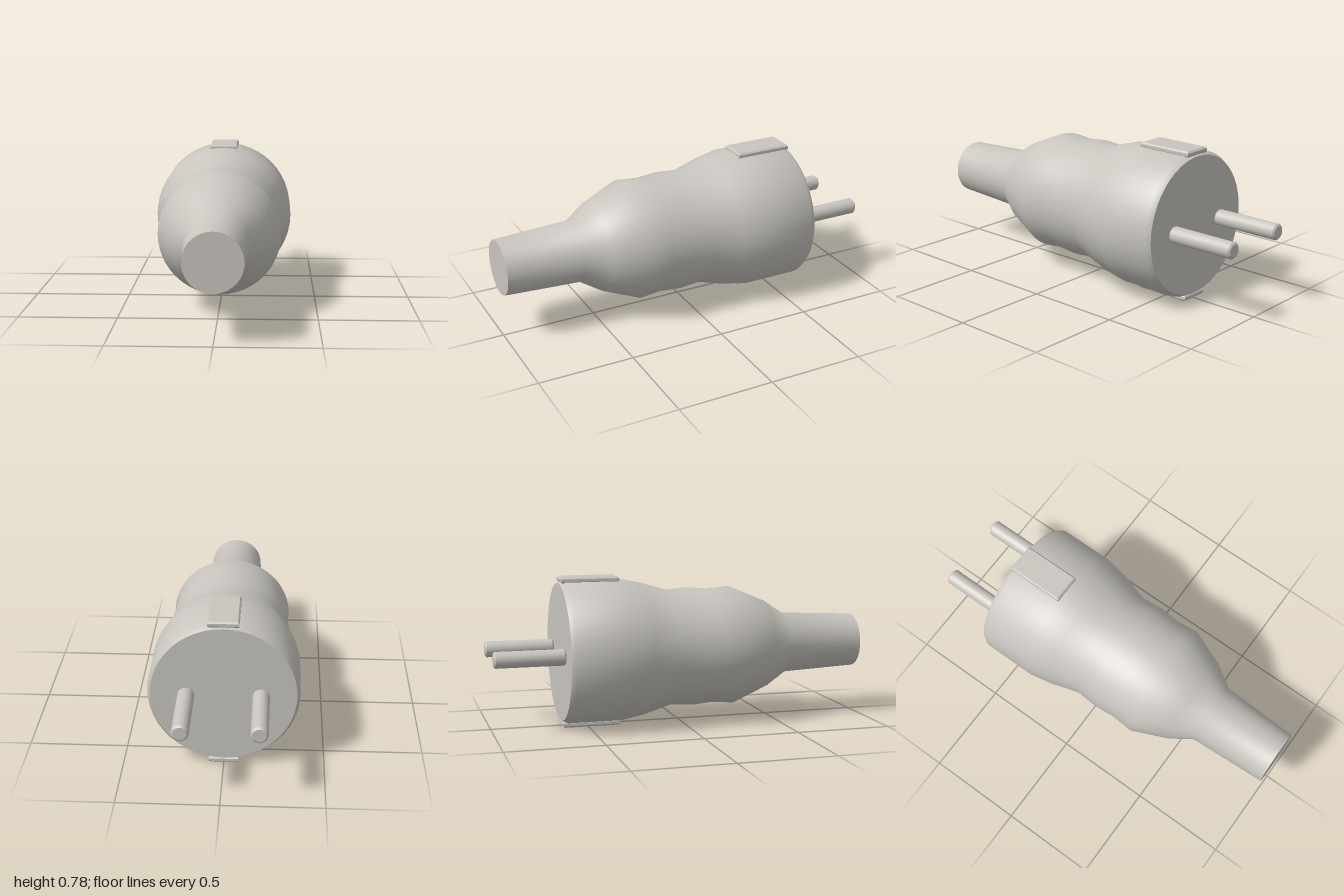
import * as THREE from 'three';
import { toCreasedNormals } from 'three/addons/utils/BufferGeometryUtils.js';

const AXIS_Y = 0.39;

// Revolve [radius, z] pairs, listed back to front, around the z axis
function revolve(profile, segments) {
  const points = profile.map(([r, z]) => new THREE.Vector2(r, z));
  const geometry = new THREE.LatheGeometry(points, segments);
  geometry.rotateX(Math.PI / 2);
  return toCreasedNormals(geometry, 0.7);
}

// Flat rectangular plate with chamfered edges, centred on the origin
function chamferedPlate(width, height, length, bevel) {
  const w = width / 2 - bevel, l = length / 2 - bevel;
  const shape = new THREE.Shape([
    new THREE.Vector2(-w, -l), new THREE.Vector2(w, -l),
    new THREE.Vector2(w, l), new THREE.Vector2(-w, l),
  ]);
  const geometry = new THREE.ExtrudeGeometry(shape, {
    depth: height - 2 * bevel, bevelEnabled: true,
    bevelThickness: bevel, bevelSize: bevel, bevelSegments: 1,
  });
  geometry.center();
  geometry.rotateX(-Math.PI / 2);
  return geometry;
}

export function createModel() {
  const group = new THREE.Group();
  group.name = 'powerPlug';
  const grey = new THREE.MeshStandardMaterial({ color: 0xc8c5bf });
  grey.name = 'warmGrey';

  const add = (name, geometry, x, y, z) => {
    const mesh = new THREE.Mesh(geometry, grey);
    mesh.name = name;
    mesh.position.set(x, y, z);
    group.add(mesh);
  };

  // Contoured grip tapering into the cable sleeve
  const body = revolve([
    [0, -0.637], [0.358, -0.637], [0.374, -0.61], [0.374, -0.33],
    [0.35, -0.205], [0.306, -0.055], [0.315, 0.06], [0.305, 0.175],
    [0.315, 0.29], [0.236, 0.48], [0.162, 0.595], [0.143, 1], [0, 1],
  ], 48);
  add('body', body, 0, AXIS_Y, 0);

  // Contact pins with chamfered ends
  const pin = revolve([
    [0, -1], [0.033, -1], [0.042, -0.991],
    [0.042, -0.645], [0.033, -0.636], [0, -0.636],
  ], 24);
  add('leftPin', pin, 0.183, AXIS_Y, 0);
  add('rightPin', pin, -0.183, AXIS_Y, 0);

  // Earth contact plates above and below
  const plate = chamferedPlate(0.152, 0.03, 0.302, 0.008);
  add('topContact', plate, 0, 0.765, -0.481);
  add('bottomContact', plate, 0, 0.015, -0.481);

  return group;
}
